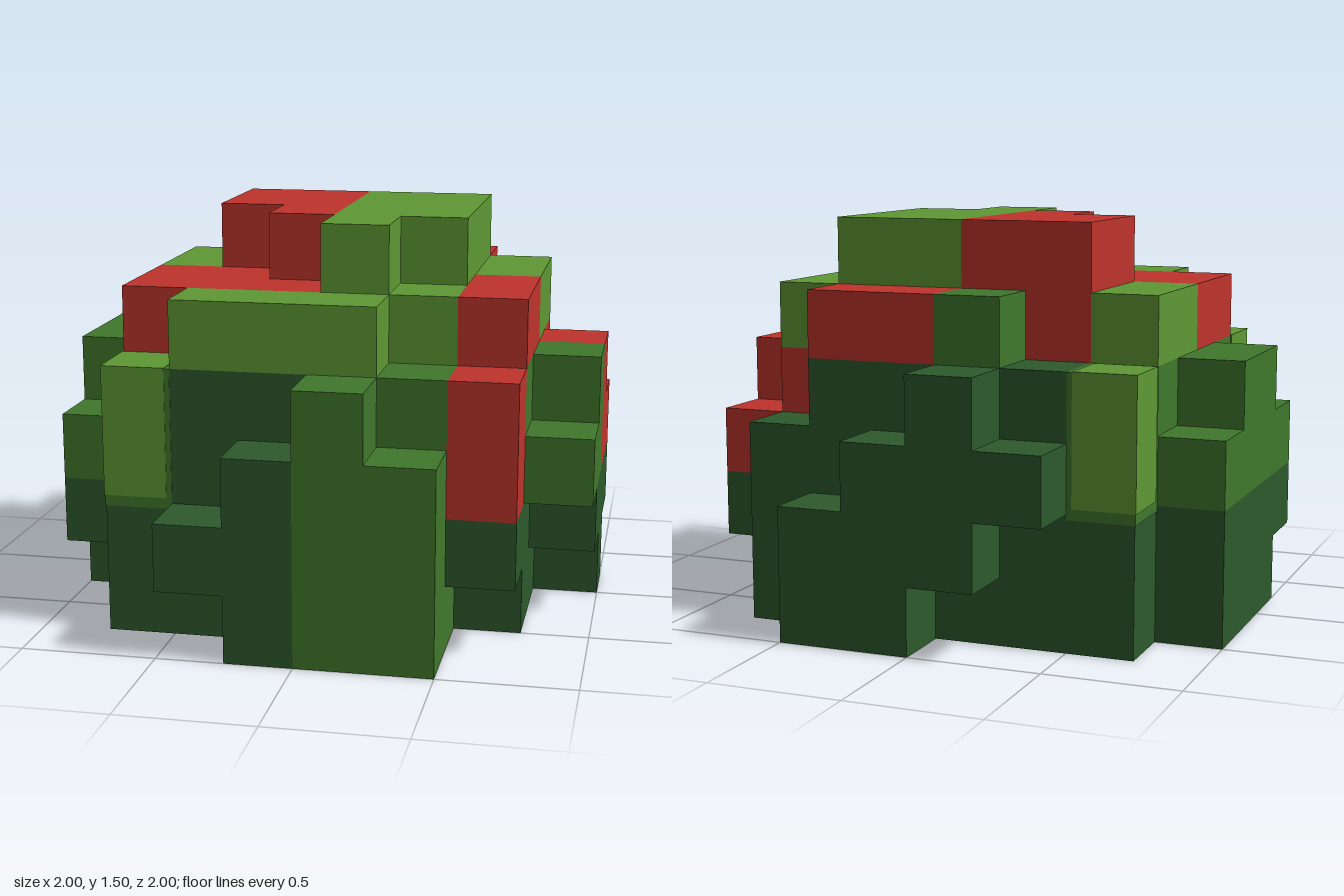
import * as THREE from 'three';

const CELL = 0.25;

const material = (name, color) => {
  const m = new THREE.MeshStandardMaterial({ color });
  m.name = name;
  return m;
};

export function createModel() {
  const dark = material('deep leaf green', 0x2d5a2d);
  const mid = material('leaf green', 0x40782c);
  const light = material('fresh leaf green', 0x5e9834);
  const red = material('blossom red', 0xbe342c);

  const bush = new THREE.Group();
  bush.name = 'bush';

  // Each block is [x0, x1, y0, y1, z0, z1] in cells of an 8 x 6 x 8 grid
  function addPart(name, mat, blocks) {
    const part = new THREE.Group();
    part.name = name;
    for (const [x0, x1, y0, y1, z0, z1] of blocks) {
      const box = new THREE.BoxGeometry((x1 - x0) * CELL, (y1 - y0) * CELL, (z1 - z0) * CELL);
      const mesh = new THREE.Mesh(box, mat);
      mesh.name = name + 'Block';
      mesh.position.set(((x0 + x1) / 2 - 4) * CELL, ((y0 + y1) / 2) * CELL, ((z0 + z1) / 2 - 4) * CELL);
      part.add(mesh);
    }
    bush.add(part);
  }

  // Core of the bush
  addPart('lowerCore', dark, [[1, 7, 0, 2, 1, 6]]);
  addPart('middleCore', mid, [[1, 7, 2, 4, 3, 6], [1, 6, 2, 4, 2, 3]]);

  // Front foliage
  addPart('frontDarkLeaves', dark, [
    [1, 4, 0, 2, 6, 7], [2, 4, 2, 4, 6, 7], [6, 7, 1, 2, 6, 7],
    [2, 3, 1, 2, 7, 8], [3, 4, 0, 3, 7, 8],
  ]);
  addPart('frontLeaves', mid, [[4, 6, 0, 4, 6, 7], [4, 5, 0, 4, 7, 8], [5, 6, 0, 3, 7, 8]]);
  addPart('frontLedge', light, [[2, 5, 4, 5, 6, 7]]);
  addPart('frontBlossom', red, [[6, 7, 2, 4, 6, 7]]);

  // Back foliage
  addPart('backDarkLeaves', dark, [
    [2, 6, 2, 4, 1, 2], [6, 7, 2, 3, 1, 2],
    [5, 6, 0, 2, 0, 1], [4, 5, 0, 3, 0, 1], [3, 4, 1, 4, 0, 1], [2, 3, 2, 3, 0, 1],
  ]);
  addPart('backLeaf', mid, [[3, 4, 4, 5, 1, 2]]);
  addPart('backBlossom', red, [[4, 6, 4, 5, 1, 2]]);

  // Foliage on the right (-x)
  addPart('rightDarkLeaves', dark, [[0, 1, 0, 2, 2, 5], [0, 1, 1, 2, 5, 6]]);
  addPart('rightLeaves', mid, [[0, 1, 2, 4, 3, 5], [0, 1, 2, 3, 2, 3], [0, 1, 2, 3, 5, 6]]);

  // Foliage on the left (+x)
  addPart('leftDarkLeaves', dark, [[7, 8, 1, 2, 4, 5], [7, 8, 0, 2, 3, 4], [7, 8, 1, 2, 2, 3]]);
  addPart('leftLeaves', mid, [[7, 8, 2, 3, 5, 6], [7, 8, 2, 4, 4, 5]]);
  addPart('leftBlossom', red, [[7, 8, 2, 4, 3, 4], [7, 8, 2, 3, 2, 3], [6, 7, 2, 4, 2, 3]]);

  // Upper tier and crown
  addPart('crownLeaves', light, [
    [1, 2, 4, 5, 2, 4], [6, 7, 4, 5, 2, 4], [4, 6, 4, 5, 2, 6],
    [4, 6, 5, 6, 2, 5], [4, 5, 5, 6, 5, 6],
  ]);
  addPart('crownBlossom', red, [
    [2, 4, 4, 6, 2, 4], [1, 4, 4, 5, 4, 6], [3, 4, 5, 6, 4, 5], [6, 7, 4, 5, 4, 6],
  ]);

  // Bright corner columns with a darker rim along their inner and lower edges
  const p = 0.01, rim = 0.08;
  addPart('cornerRim', mid, [
    [1 - p, 2, 2 - rim, 4, 6, 7 + p],
    [1 - p, 2, 2 - rim, 4, 1 - p, 2],
  ]);
  addPart('cornerLeaves', light, [
    [1 - 2 * p, 2 - rim, 2 + rim, 4 + p, 6, 7 + 2 * p],
    [1 - 2 * p, 2 - rim, 2 + rim, 4 + p, 1 - 2 * p, 2 - rim],
  ]);

  return bush;
}
